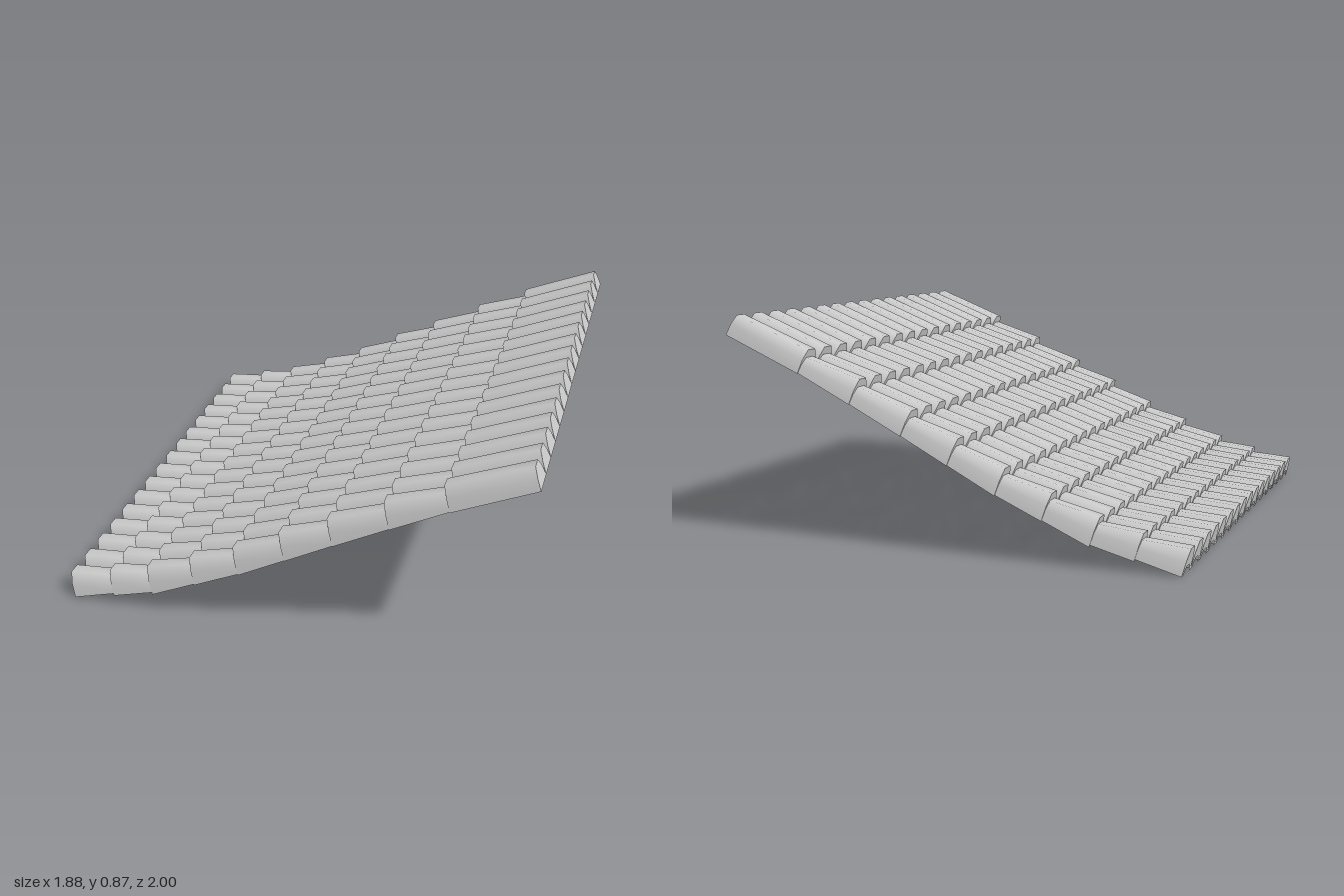
import * as THREE from 'three';

const COLUMNS = 16;
const HALF = 1 / COLUMNS; // half the width of one tile

// Lower end of each course: [x, y] of the foot and [x, y] of the crown
const COURSES = [
  [-0.92, 0.003, -0.945, 0.1], [-0.745, 0.043, -0.77, 0.14], [-0.575, 0.08, -0.605, 0.185],
  [-0.39, 0.16, -0.42, 0.26], [-0.205, 0.24, -0.235, 0.34], [-0.012, 0.34, -0.045, 0.44],
  [0.18, 0.44, 0.148, 0.535], [0.397, 0.55, 0.367, 0.645], [0.62, 0.66, 0.59, 0.75],
];
const RIDGE = [0.94, 0.8, 0.91, 0.877];

// Half-barrel cross-section: share of half width, share of height
const ARCH = [[1, 0], [0.82, 0.56], [0.42, 1], [-0.42, 1], [-0.82, 0.56], [-1, 0]];

// Arch points placed on an end line running from foot to crown
function section([fx, fy, cx, cy], width = 1, height = 1) {
  return ARCH.map(([w, h]) => [
    fx + (cx - fx) * h * height,
    fy + (cy - fy) * h * height,
    w * width * HALF,
  ]);
}

// Strip of quads between two equal rows of points
function strip(a, b) {
  const n = a.length;
  const index = [];
  for (let i = 0; i < n - 1; i++) index.push(i, i + 1, n + i, i + 1, n + i + 1, n + i);
  const g = new THREE.BufferGeometry();
  g.setAttribute('position', new THREE.Float32BufferAttribute([...a, ...b].flat(), 3));
  g.setIndex(index);
  g.computeVertexNormals();
  return g;
}

// Upper end of a course, tucked beneath the next one
function upperEnd(next) {
  const [fx, fy, cx, cy] = next;
  return [fx + 0.03, fy + 0.016, cx + 0.035, cy - 0.022];
}

export function createModel() {
  const model = new THREE.Group();
  model.name = 'tiledRoof';
  const material = new THREE.MeshStandardMaterial({ color: 0xcccccc, side: THREE.DoubleSide });

  COURSES.forEach((lower, row) => {
    const last = row === COURSES.length - 1;
    const upper = last ? RIDGE : upperEnd(COURSES[row + 1]);
    const front = section(lower);
    const back = section(upper, last ? 1 : 0.94);
    const parts = [
      ['tileShell', strip(front, back)],
      // lower rim with a small arched opening
      ['tileRim', strip(section(lower, 0.62, 0.32), front)],
    ];
    // closed end along the ridge
    if (last) parts.push(['ridgeCap', strip(back, section(upper, 1, 0))]);

    const course = new THREE.Group();
    course.name = 'tileCourse' + (row + 1);
    for (let c = 0; c < COLUMNS; c++) {
      const tile = new THREE.Group();
      tile.name = 'tile';
      tile.position.z = -1 + HALF * (2 * c + 1);
      for (const [name, geometry] of parts) {
        const mesh = new THREE.Mesh(geometry, material);
        mesh.name = name;
        tile.add(mesh);
      }
      course.add(tile);
    }
    model.add(course);
  });
  return model;
}
